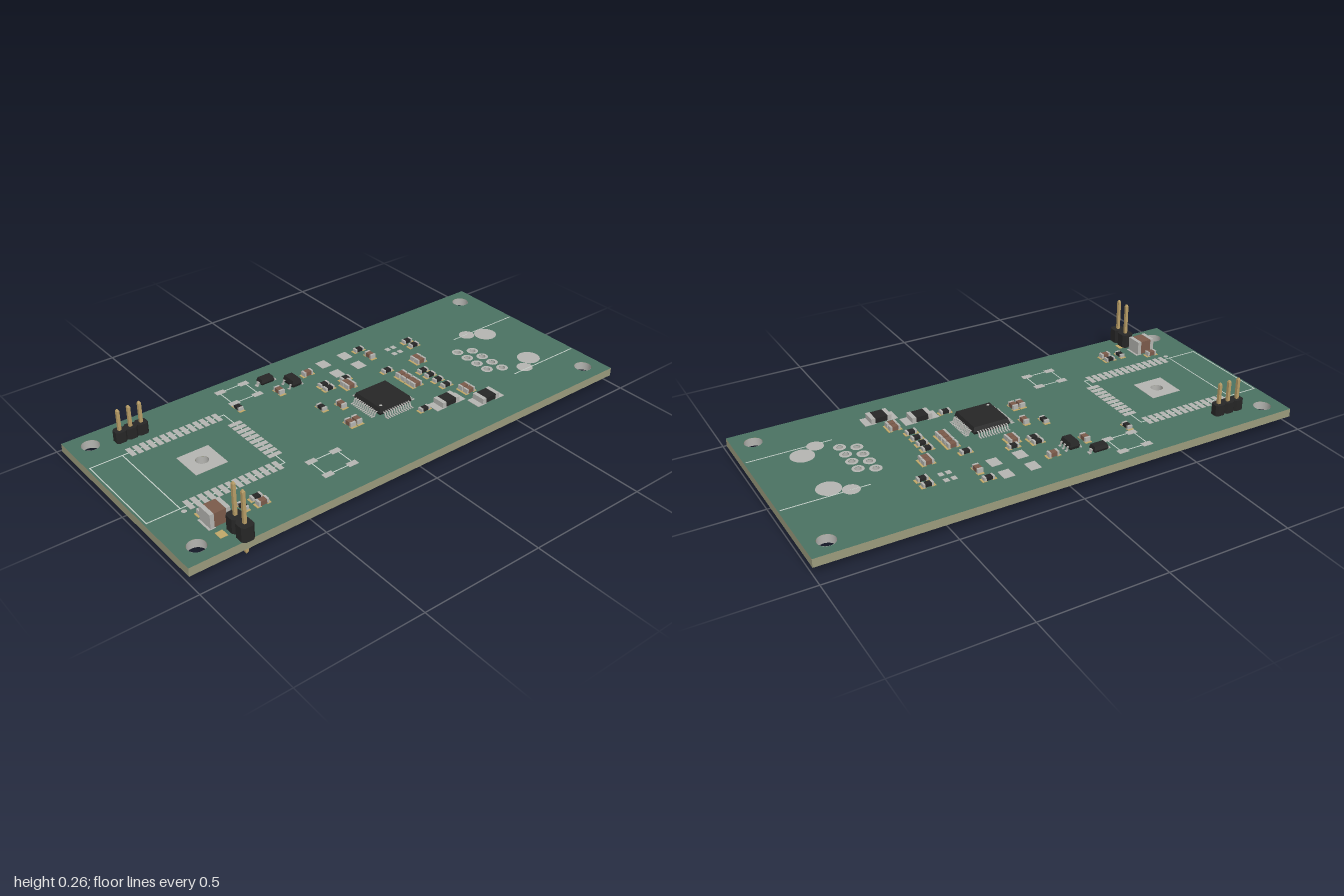
import * as THREE from 'three';

const mat = (color, extra = {}) => new THREE.MeshStandardMaterial({ color, ...extra });
const M = {
  green: mat(0x4a7262), edge: mat(0x9a9a7c), metal: mat(0xb4b4b0), gold: mat(0xbfa768),
  black: mat(0x262626), brown: mat(0x7a5a4a), silk: mat(0xc4cfc8),
  pin: mat(0xb89d66, { flatShading: true }), liner: mat(0xb4b4b0, { side: THREE.DoubleSide }),
};
const BOTTOM = 0.032, TOP = 0.066;

export function createModel() {
  const root = new THREE.Group();

  const add = (name, geo, material, x, y, z, parent = root) => {
    const m = new THREE.Mesh(geo, material);
    m.name = name;
    m.position.set(x, y, z);
    parent.add(m);
    return m;
  };
  // box standing on y
  const box = (name, material, x, y, z, w, h, d, parent) =>
    add(name, new THREE.BoxGeometry(w, h, d), material, x, y + h / 2, z, parent);
  // box whose top (or bottom) is drawn in
  const taper = (name, x, y, z, w, h, d, inset, up, parent) => {
    const g = new THREE.BoxGeometry(w, h, d), p = g.attributes.position;
    for (let i = 0; i < p.count; i++) if (p.getY(i) * up > 0) {
      p.setX(i, p.getX(i) - Math.sign(p.getX(i)) * inset);
      p.setZ(i, p.getZ(i) - Math.sign(p.getZ(i)) * inset);
    }
    g.computeVertexNormals();
    return add(name, g, M.black, x, y + h / 2, z, parent);
  };
  const group = (name, x, y, z) => {
    const g = new THREE.Group();
    g.name = name;
    g.position.set(x, y, z);
    root.add(g);
    return g;
  };
  const pad = (x, z, w, d, material = M.metal) => box('pad', material, x, TOP, z, w, 0.0015, d);

  // board with drilled holes
  const mounts = [[-0.92, -0.37], [0.92, -0.37], [-0.92, 0.36], [0.92, 0.36]];
  const jack = [];
  for (let i = 0; i < 8; i++) jack.push([i % 2 ? 0.655 : 0.598, -0.04 + i * 0.029]);
  const drills = [...mounts.map(p => [...p, 0.035]), [-0.65, -0.037, 0.025], ...jack.map(p => [...p, 0.013])];
  const outline = new THREE.Shape([[-1, -0.44], [1, -0.44], [1, 0.445], [-1, 0.445]].map(p => new THREE.Vector2(...p)));
  for (const [x, z, r] of drills) outline.holes.push(new THREE.Path().absarc(x, -z, r, 0, Math.PI * 2, true));
  const boardGeo = new THREE.ExtrudeGeometry(outline, { depth: TOP - BOTTOM, bevelEnabled: false, curveSegments: 24 });
  add('board', boardGeo.rotateX(-Math.PI / 2), [M.green, M.edge], 0, BOTTOM, 0);
  for (const [x, z, r] of drills)
    add('holeLiner', new THREE.CylinderGeometry(r * 0.98, r * 0.98, TOP - BOTTOM, 24, 1, true), M.liner, x, (TOP + BOTTOM) / 2, z);

  // round plated pads on both faces
  const ring = (x, z, inner, outer) => {
    for (const s of [1, -1]) {
      const g = inner ? new THREE.RingGeometry(inner, outer, 28) : new THREE.CircleGeometry(outer, 28);
      add('roundPad', g.rotateX(-s * Math.PI / 2), M.metal, x, s > 0 ? TOP + 0.001 : BOTTOM - 0.001, z);
    }
  };
  jack.forEach(([x, z]) => ring(x, z, 0.013, 0.024));
  for (const s of [-1, 1]) {
    ring(0.797, 0.045 + s * 0.128, 0, 0.047);
    ring(0.73, 0.045 + s * 0.172, 0, 0.033);
  }
  ring(-0.65, -0.037, 0.025, 0.036);

  // pads of the radio module, switches, crystal and lamps
  for (let i = 0; i < 14; i++) for (const z of [-0.24, 0.158]) pad(-0.825 + i * 0.0283, z, 0.02, 0.055);
  for (let i = 0; i < 10; i++) pad(-0.427, -0.16 + i * 0.0283, 0.055, 0.02);
  const plate = new THREE.Shape([[-1, -1], [1, -1], [1, 1], [-1, 1]].map(([a, b]) => new THREE.Vector2(a * 0.067, b * 0.067)));
  plate.holes.push(new THREE.Path().absarc(0, 0, 0.025, 0, Math.PI * 2, true));
  add('centrePad', new THREE.ExtrudeGeometry(plate, { depth: 0.0015, bevelEnabled: false }).rotateX(-Math.PI / 2), M.metal, -0.65, TOP, -0.037);
  for (const zc of [-0.335, 0.263]) for (const sx of [-1, 1]) for (const sz of [-1, 1])
    pad(-0.295 + sx * 0.054, zc + sz * 0.05, 0.042, 0.025);
  for (const sx of [-1, 1]) for (const sz of [-1, 1]) {
    pad(0.155 + sx * 0.055, -0.262 + sz * 0.046, 0.045, 0.052);
    pad(0.4 + sx * 0.015, -0.217 + sz * 0.022, 0.02, 0.022);
  }
  ring(-0.857, 0.18, 0, 0.01);

  // printed outlines
  const line = (x1, z1, x2, z2) =>
    box('printedLine', M.silk, (x1 + x2) / 2, TOP, (z1 + z2) / 2, Math.abs(x2 - x1) + 0.004, 0.001, Math.abs(z2 - z1) + 0.004);
  const frame = (x1, z1, x2, z2) => {
    line(x1, z1, x2, z1); line(x1, z2, x2, z2); line(x1, z1, x1, z2); line(x2, z1, x2, z2);
  };
  frame(-0.99, -0.24, -0.427, 0.16);
  line(-0.86, -0.24, -0.86, 0.16);
  frame(-0.355, -0.385, -0.235, -0.285);
  frame(-0.355, 0.213, -0.235, 0.313);
  for (const z of [-0.13, 0.23]) line(0.66, z, 0.99, z);

  // two-terminal chip components: body, end caps and solder pads
  const chip = (name, x, z, turned, body, l = 0.042, w = 0.024, h = 0.018, padMat = M.gold, padLen = 0.008) => {
    const g = group(name, x, TOP, z);
    box('body', body, 0, 0.002, 0, l * 0.6, h - 0.001, w * 0.97, g);
    for (const s of [-1, 1]) {
      box('endCap', M.metal, s * l * 0.4, 0.002, 0, l * 0.2, h, w, g);
      box('solderPad', padMat, s * (l * 0.38 + padLen / 2), 0, 0, l * 0.24 + padLen, 0.002, w + 0.004, g);
    }
    if (turned) g.rotation.y = Math.PI / 2;
    return g;
  };
  const resistors = [[0.283, -0.307], [0.489, -0.238], [0.489, -0.195], [0.267, -0.104], [0.38, -0.013], [0.38, 0.03],
    [0.38, 0.077], [0.38, 0.126], [0.195, 0.206], [0, -0.174], [0, -0.141], [0.096, -0.158], [-0.626, 0.27],
    [-0.358, -0.243, 1], [-0.107, -0.045, 1], [-0.69, 0.286, 1]];
  const capacitors = [[0.289, -0.238, 1], [0.422, -0.104], [0.422, -0.077], [0.289, -0.04], [0.289, -0.008], [0.289, 0.024],
    [0.289, 0.051], [0.422, 0.184], [0.422, 0.214], [0.075, -0.126], [0.075, -0.099], [0, -0.283], [-0.166, -0.243, 1],
    [-0.037, -0.013, 1], [-0.091, 0.11, 1], [-0.059, 0.11, 1], [-0.81, 0.227], [-0.626, 0.307]];
  for (const [x, z, t] of resistors) chip('resistor', x, z, t, M.black, 0.042, 0.022, 0.013);
  for (const [x, z, t] of capacitors) chip('capacitor', x, z, t, M.brown);
  chip('largeCapacitor', -0.8, 0.285, 0, M.brown, 0.08, 0.068, 0.057, M.metal);
  chip('inductor', 0.3, 0.217, 0, M.black, 0.085, 0.055, 0.022, M.metal, 0.03);
  chip('bulkCapacitor', 0.44, 0.29, 0, M.black, 0.085, 0.058, 0.022, M.metal, 0.026);
  for (const s of [-1, 1]) pad(-0.785 + s * 0.04, 0.361, 0.03, 0.036, M.gold);

  // parts soldered under the board
  for (const x of [0.51, 0.54]) {
    const g = chip('undersideCapacitor', x, 0.095, true, M.brown, 0.038, 0.022, 0.015);
    g.position.y = BOTTOM;
    g.rotation.set(Math.PI, Math.PI / 2, 0);
  }

  // gull-wing lead pointing along +x from the package side
  const lead = (parent, angle, reach, offset, w, len, h) => {
    const pts = [[0, h], [len * 0.4, h], [len * 0.6, 0.003], [len, 0.003], [len, 0], [len * 0.5, 0], [len * 0.3, h - 0.003], [0, h - 0.003]];
    const g = new THREE.ExtrudeGeometry(new THREE.Shape(pts.map(p => new THREE.Vector2(...p))), { depth: w, bevelEnabled: false });
    g.translate(reach, 0, offset - w / 2).rotateY(angle);
    add('lead', g, M.metal, 0, 0.001, 0, parent);
  };
  // moulded package: two drawn-in halves meeting at the lead plane
  const moulded = (parent, w, d, h, inset) => {
    taper('lowerBody', 0, 0.005, 0, w, h * 0.4, d, inset, -1, parent);
    taper('upperBody', 0, 0.005 + h * 0.4, 0, w, h * 0.6, d, inset, 1, parent);
  };

  const controller = group('controllerChip', 0.107, TOP, 0.063);
  moulded(controller, 0.158, 0.158, 0.031, 0.006);
  for (let side = 0; side < 4; side++) for (let i = 0; i < 12; i++)
    lead(controller, side * Math.PI / 2, 0.076, (i - 5.5) * 0.0112, 0.005, 0.032, 0.019);
  add('pinOneDot', new THREE.CircleGeometry(0.006, 16).rotateX(-Math.PI / 2), M.metal, -0.058, 0.0365, 0.058, controller);

  const regulator = group('regulator', -0.09, TOP, -0.26);
  moulded(regulator, 0.044, 0.066, 0.03, 0.004);
  for (const z of [-0.022, 0, 0.022]) lead(regulator, 0, 0.02, z, 0.009, 0.016, 0.018);
  for (const z of [-0.022, 0.022]) lead(regulator, Math.PI, 0.02, z, 0.009, 0.016, 0.018);

  const diode = group('diode', -0.167, TOP, -0.336);
  moulded(diode, 0.062, 0.038, 0.024, 0.004);
  for (const a of [0, Math.PI]) lead(diode, a, 0.029, 0, 0.016, 0.018, 0.015);

  // pin headers: chamfered blocks with pointed square pins
  const header = (name, x, z, n, alongZ, pitch, width, h, y0, y1) => {
    const g = group(name, x, 0, z), p = pitch / 2, w = width / 2, c = pitch * 0.2, r = 0.0085;
    const oct = [[-p + c, -w], [p - c, -w], [p, -w + c], [p, w - c], [p - c, w], [-p + c, w], [-p, w - c], [-p, -w + c]];
    const shape = new THREE.Shape(oct.map(q => new THREE.Vector2(...q)));
    const profile = [[0, y0], [r * 0.5, y0], [r, y0 + 0.007], [r, y1 - 0.007], [r * 0.5, y1], [0, y1]].map(q => new THREE.Vector2(...q));
    for (let i = 0; i < n; i++) {
      const u = (i - (n - 1) / 2) * pitch;
      const block = new THREE.ExtrudeGeometry(shape, { depth: h, bevelEnabled: false }).rotateX(-Math.PI / 2);
      add('headerBlock', block, M.black, u, TOP, 0, g);
      add('pin', new THREE.LatheGeometry(profile, 4).rotateY(Math.PI / 4), M.pin, u, 0, 0, g);
      for (const y of [BOTTOM - 0.001, TOP + 0.001])
        add('pinPad', new THREE.CylinderGeometry(0.019, 0.019, 0.002, 20), M.gold, u, y, 0, g);
    }
    if (alongZ) g.rotation.y = Math.PI / 2;
  };
  header('powerHeader', -0.771, 0.393, 2, true, 0.056, 0.052, 0.058, 0, 0.257);
  header('serialHeader', -0.772, -0.332, 3, false, 0.0445, 0.043, 0.045, 0.006, 0.2);

  return root;
}
